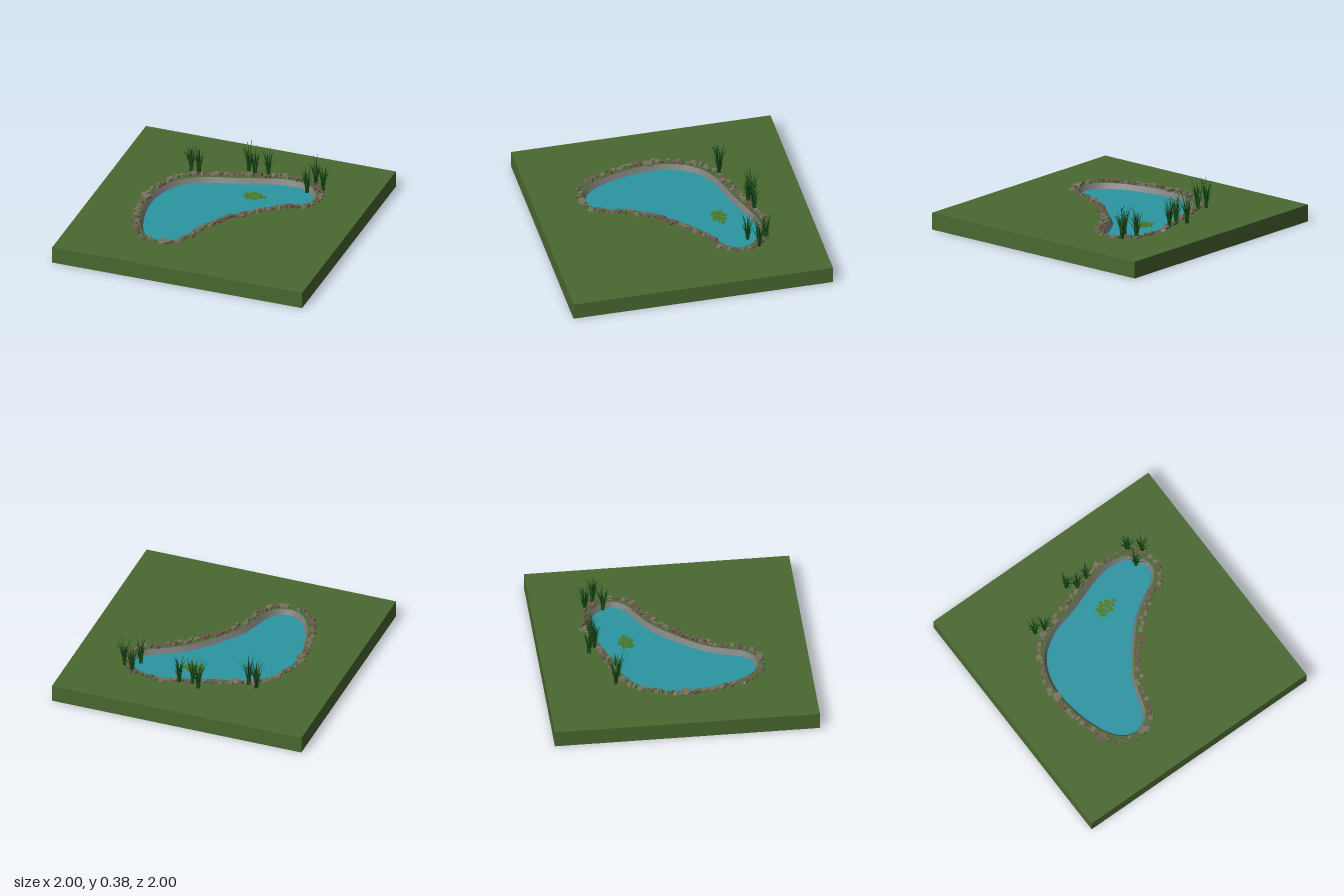
import * as THREE from 'three';
import { mergeGeometries } from 'three/addons/utils/BufferGeometryUtils.js';

const TOP = 0.13, WATER = 0.09;

// Pond shoreline as x, z pairs
const SHORE = [
  [0.25, -0.57], [0.36, -0.575], [0.455, -0.55], [0.53, -0.48], [0.56, -0.385], [0.505, -0.3], [0.375, -0.225],
  [0.245, -0.14], [0.085, 0.03], [-0.065, 0.235], [-0.12, 0.38], [-0.165, 0.51], [-0.225, 0.575],
  [-0.3, 0.592], [-0.385, 0.562], [-0.465, 0.465], [-0.53, 0.3], [-0.57, 0.06], [-0.55, -0.13],
  [-0.47, -0.285], [-0.315, -0.395], [-0.075, -0.465], [0.11, -0.53],
];

function makeRandom(seed) {
  return () => {
    seed = (seed * 16807) % 2147483647;
    return seed / 2147483647;
  };
}

export function createModel() {
  const group = new THREE.Group();
  const rand = makeRandom(4217);
  const range = (a, b) => a + (b - a) * rand();
  const mat = (color, opts = {}) => new THREE.MeshStandardMaterial({ color, ...opts });
  const add = (name, geometry, material) => {
    const mesh = new THREE.Mesh(geometry, material);
    mesh.name = name;
    group.add(mesh);
    return mesh;
  };

  const curve = new THREE.CatmullRomCurve3(SHORE.map(([x, z]) => new THREE.Vector3(x, 0, z)), true);
  // Point on the shoreline, moved outward by d
  const shoreAt = (u, d) => {
    const p = curve.getPointAt(u), t = curve.getTangentAt(u);
    return new THREE.Vector2(p.x + t.z * d, p.z - t.x * d);
  };
  const N = 110;
  const loop = (d) => Array.from({ length: N }, (_, i) => shoreAt(i / N, d));
  const inner = loop(0), outer = loop(0.022);
  const flip = (pts) => pts.map((p) => new THREE.Vector2(p.x, -p.y));

  // Ground slab with the pond cut out, and a floor that closes it
  const grass = mat(0x4a6830);
  const slab = new THREE.Shape([[-1, -1], [1, -1], [1, 1], [-1, 1]].map(([x, y]) => new THREE.Vector2(x, y)));
  slab.holes.push(new THREE.Path(flip(outer)));
  add('ground', new THREE.ExtrudeGeometry(slab, { depth: TOP, bevelEnabled: false }).rotateX(-Math.PI / 2), grass);
  add('groundUnderside', new THREE.ShapeGeometry(new THREE.Shape(outer)).rotateX(Math.PI / 2), grass);

  // Water surface
  const water = new THREE.ShapeGeometry(new THREE.Shape(flip(inner))).rotateX(-Math.PI / 2);
  add('water', water.translate(0, WATER, 0), mat(0x2a96a2));

  // Sloping stone bank between grass and water
  const pos = [], index = [];
  for (let i = 0; i < N; i++) {
    pos.push(outer[i].x, TOP, outer[i].y, inner[i].x, WATER, inner[i].y);
    const a = i * 2, b = ((i + 1) % N) * 2;
    index.push(a, a + 1, b, a + 1, b + 1, b);
  }
  const bank = new THREE.BufferGeometry();
  bank.setAttribute('position', new THREE.Float32BufferAttribute(pos, 3));
  bank.setIndex(index);
  bank.computeVertexNormals();
  add('bank', bank, mat(0x777777, { side: THREE.DoubleSide }));

  // Rough edging stones in three tones
  const tones = [[], [], []];
  const STONES = 108;
  for (let i = 0; i < STONES; i++) {
    const big = rand() < 0.13;
    const s = big ? range(0.042, 0.054) : range(0.026, 0.038);
    const h = range(0.016, 0.022);
    const stone = new THREE.BoxGeometry(s, h, s * range(0.85, 1.15));
    const p = stone.attributes.position;
    // The same corner always moves the same way, so the box stays closed
    const jitter = Array.from({ length: 8 }, () => [range(-0.12, 0.12) * s, range(-0.1, 0.1) * h, range(-0.12, 0.12) * s]);
    for (let v = 0; v < p.count; v++) {
      const k = (p.getX(v) > 0) + 2 * (p.getY(v) > 0) + 4 * (p.getZ(v) > 0);
      const taper = p.getY(v) > 0 ? 0.88 : 1;
      p.setXYZ(v, p.getX(v) * taper + jitter[k][0], p.getY(v) + jitter[k][1], p.getZ(v) * taper + jitter[k][2]);
    }
    stone.rotateY(range(0, Math.PI));
    const c = shoreAt(((i + range(-0.3, 0.3)) / STONES + 1) % 1, range(0.036, 0.074));
    stone.translate(c.x, TOP + h / 2 - 0.002, c.y);
    const roll = rand();
    tones[roll < 0.45 ? 0 : roll < 0.8 ? 1 : 2].push(stone);
  }
  [0x77715c, 0x68604e, 0x6b5648].forEach((color, i) => {
    add('edgingStones' + (i + 1), mergeGeometries(tones[i]), mat(color, { flatShading: true }));
  });

  // Lily pads: notched discs floating in a cluster
  const pads = [];
  for (let i = 0; i < 16; i++) {
    const a = i * 2.4, r = Math.sqrt((i + 0.4) / 16);
    const pad = new THREE.CylinderGeometry(1, 1, 0.004, 12, 1, false, 0, Math.PI * 1.85);
    const s = range(0.011, 0.018);
    pad.scale(s, 1, s).rotateY(range(0, 6.28));
    pads.push(pad.translate(0.115 + Math.cos(a) * r * 0.085, WATER + 0.003, -0.335 + Math.sin(a) * r * 0.052));
  }
  add('lilyPads', mergeGeometries(pads), mat(0x4f7a1c, { side: THREE.DoubleSide }));

  // Reed blade: a tapering folded strip that arches outward
  const blade = (height, reach, width, angle) => {
    const verts = [], faces = [], SEG = 5;
    for (let i = 0; i <= SEG; i++) {
      const t = i / SEG;
      const w = width * (1 - t ** 1.6) * 0.5;
      const x = 0.012 + reach * t ** 2.2;
      const y = height * (t * 1.25 - 0.25 * t ** 3);
      verts.push(x, y, -w, x - w * 0.5, y, 0, x, y, w);
      if (i < SEG) {
        for (let j = 0; j < 2; j++) {
          const a = i * 3 + j;
          faces.push(a, a + 1, a + 3, a + 1, a + 4, a + 3);
        }
      }
    }
    const g = new THREE.BufferGeometry();
    g.setAttribute('position', new THREE.Float32BufferAttribute(verts, 3));
    g.setIndex(faces);
    g.computeVertexNormals();
    return g.rotateY(angle);
  };

  // Clumps of reeds along the back shore
  const greens = [0x1f5a1c, 0x123d14].map((c) => mat(c, { side: THREE.DoubleSide }));
  const clumps = [
    [-0.44, -0.475], [-0.37, -0.45], [-0.035, -0.63], [0.03, -0.58],
    [0.13, -0.6], [0.51, -0.6], [0.595, -0.53], [0.49, -0.465],
  ];
  clumps.forEach(([x, z], n) => {
    const reeds = new THREE.Group();
    reeds.name = 'reedClump' + (n + 1);
    reeds.position.set(x, TOP, z);
    greens.forEach((material, k) => {
      const blades = [];
      for (let i = 0; i < 9; i++) {
        const angle = ((i + k * 0.5) / 9) * Math.PI * 2 + range(-0.3, 0.3);
        const h = range(0.13, 0.25);
        blades.push(blade(h, range(0.02, 0.075), range(0.011, 0.016), angle));
      }
      const mesh = new THREE.Mesh(mergeGeometries(blades), material);
      mesh.name = k ? 'darkBlades' : 'lightBlades';
      reeds.add(mesh);
    });
    group.add(reeds);
  });

  return group;
}
